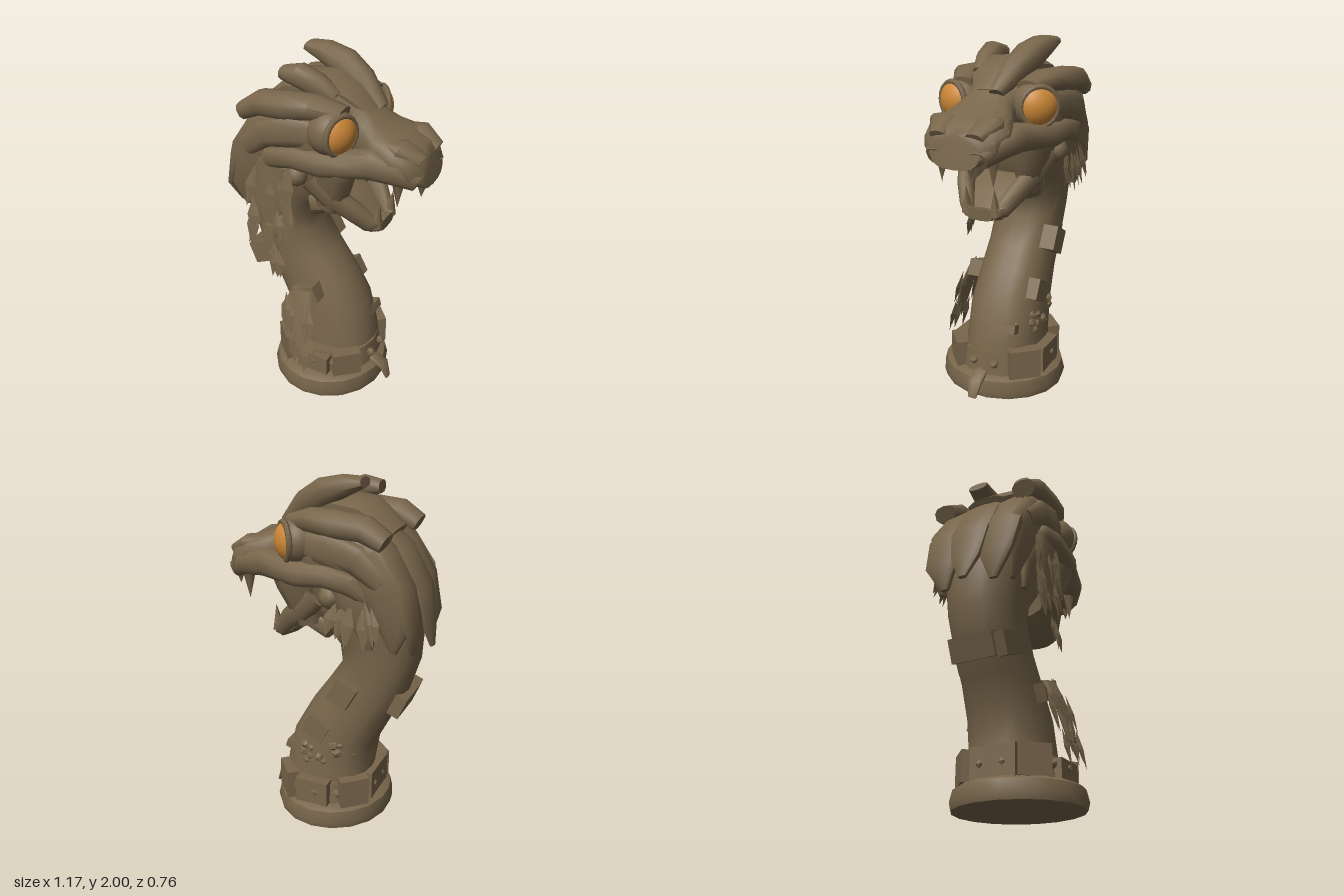
import * as THREE from 'three';
import { toCreasedNormals } from 'three/addons/utils/BufferGeometryUtils.js';

const wood = new THREE.MeshStandardMaterial({ color: 0x78664b });
wood.name = 'weathered brown';
const amber = new THREE.MeshStandardMaterial({ color: 0xcb8636 });
amber.name = 'amber eye';

// Skin of rounded sections: [xA, yA, xB, yB, halfWidth, z]; A lies left of the direction of travel
function loft(sections, sides = 16, p = 0.8, crease = 0.9) {
  const pos = [], idx = [], n = sections.length;
  const soft = (v) => Math.sign(v) * Math.pow(Math.abs(v), p);
  for (const [xa, ya, xb, yb, w, z = 0] of sections) {
    for (let j = 0; j < sides; j++) {
      const t = (j / sides) * Math.PI * 2, c = soft(Math.cos(t)), s = soft(Math.sin(t));
      pos.push((xa + xb) / 2 + c * (xa - xb) / 2, (ya + yb) / 2 + c * (ya - yb) / 2, z + s * w);
    }
  }
  for (let i = 0; i < n - 1; i++) {
    for (let j = 0; j < sides; j++) {
      const k = (j + 1) % sides, a = i * sides, b = a + sides;
      idx.push(a + j, a + k, b + k, a + j, b + k, b + j);
    }
  }
  const e = (n - 1) * sides;
  for (let j = 1; j < sides - 1; j++) idx.push(0, j + 1, j, e, e + j, e + j + 1);
  const g = new THREE.BufferGeometry();
  g.setAttribute('position', new THREE.Float32BufferAttribute(pos, 3));
  g.setIndex(idx);
  return toCreasedNormals(g, crease);
}

// Curved blade through points [x, y, z, halfWidthZ, halfThickness]
function blade(pts, sides = 10) {
  return loft(pts.map(([x, y, z, w, h], i) => {
    const a = pts[Math.max(0, i - 1)], b = pts[Math.min(pts.length - 1, i + 1)];
    const dx = b[0] - a[0], dy = b[1] - a[1], l = Math.hypot(dx, dy);
    const nx = -dy / l * h, ny = dx / l * h;
    return [x + nx, y + ny, x - nx, y - ny, w, z];
  }), sides);
}

export function createModel() {
  const root = new THREE.Group();
  root.name = 'serpentFigurehead';
  let seed = 7;
  const rnd = () => (seed = (seed * 16807) % 2147483647) / 2147483647;
  const add = (name, geo, x = 0, y = 0, z = 0, mat = wood) => {
    const m = new THREE.Mesh(geo, mat);
    m.name = name;
    m.position.set(x, y, z);
    root.add(m);
    return m;
  };
  const headZ = -0.025; // the head and neck sit slightly off the middle

  // S-curved neck
  add('neck', loft([
    [-0.28, 0.02, 0.30, 0.02, 0.25], [-0.25, 0.3, 0.27, 0.3, 0.22], [-0.28, 0.48, 0.22, 0.5, 0.215],
    [-0.36, 0.64, 0.12, 0.68, 0.2], [-0.45, 0.8, 0.02, 0.82, 0.195], [-0.51, 1.0, -0.08, 0.97, 0.2],
    [-0.52, 1.2, -0.07, 1.08, 0.22], [-0.48, 1.4, -0.01, 1.16, 0.25], [-0.38, 1.62, 0.07, 1.25, 0.27],
    [-0.22, 1.76, 0.1, 1.38, 0.28]], 18, 0.85), 0, 0, -0.035);

  // Cranium, narrow between the eyes, and snout
  add('upperHead', loft([
    [-0.42, 1.58, -0.4, 1.34, 0.22], [-0.22, 1.78, -0.22, 1.34, 0.3], [0, 1.85, 0, 1.4, 0.31],
    [0.1, 1.83, 0.1, 1.42, 0.27], [0.17, 1.79, 0.17, 1.42, 0.15], [0.25, 1.73, 0.24, 1.43, 0.16], [0.32, 1.68, 0.31, 1.44, 0.2],
    [0.43, 1.645, 0.42, 1.44, 0.235], [0.52, 1.6, 0.52, 1.41, 0.205], [0.56, 1.56, 0.58, 1.39, 0.14]], 18, 0.75, 0.8), 0, 0, headZ);

  // Lower jaw
  add('lowerJaw', loft([
    [-0.06, 1.3, -0.02, 1.1, 0.21], [0.1, 1.27, 0.1, 1.18, 0.21], [0.2, 1.19, 0.19, 1.1, 0.165],
    [0.28, 1.12, 0.28, 1.055, 0.12], [0.335, 1.13, 0.33, 1.06, 0.08]], 14, 0.7, 0.7), 0, 0, headZ);

  for (const s of [1, -1]) {
    // Cheeks, jaw rims and lips frame the open mouth
    add('cheek', blade([[0.06, 1.2, s * 0.17, 0.06, 0.07], [0.09, 1.32, s * 0.18, 0.08, 0.1],
      [0.11, 1.42, s * 0.21, 0.09, 0.12], [0.12, 1.5, s * 0.22, 0.09, 0.14]]), 0, 0, headZ);
    add('jawRim', blade([[0.0, 1.38, s * 0.24, 0.05, 0.07], [0.1, 1.28, s * 0.205, 0.05, 0.07], [0.2, 1.2, s * 0.155, 0.05, 0.06],
      [0.28, 1.11, s * 0.1, 0.045, 0.045], [0.33, 1.1, s * 0.07, 0.03, 0.03]]), 0, 0, headZ);
    add('lip', blade([[-0.3, 1.4, s * 0.26, 0.03, 0.03], [-0.22, 1.48, s * 0.29, 0.05, 0.06], [-0.08, 1.51, s * 0.29, 0.06, 0.06],
      [0.08, 1.5, s * 0.27, 0.07, 0.07], [0.2, 1.51, s * 0.22, 0.1, 0.07], [0.32, 1.52, s * 0.19, 0.08, 0.08],
      [0.46, 1.49, s * 0.18, 0.06, 0.06], [0.55, 1.44, s * 0.12, 0.05, 0.05]]), 0, 0, headZ);
    add('nostril', blade([[0.34, 1.6, s * 0.12, 0.05, 0.04], [0.45, 1.6, s * 0.13, 0.08, 0.045], [0.55, 1.54, s * 0.1, 0.05, 0.04]]), 0, 0, headZ);
    add('jawHinge', new THREE.SphereGeometry(0.065, 10, 8), -0.09, 1.39, s * 0.25 + headZ);

    // Fangs
    for (const [x, y, z, r, h, up] of [[0.45, 1.37, 0.15, 0.04, 0.17, 0], [0.55, 1.38, 0.08, 0.028, 0.08, 0],
      [0.315, 1.17, 0.085, 0.035, 0.15, 1], [0.22, 1.22, 0.14, 0.03, 0.09, 1]]) {
      add('fang', new THREE.ConeGeometry(r, h, 6), x, y, s * z + headZ).rotation.z = up ? -0.1 : Math.PI;
    }

    // Eyeballs in the brow, each with a thin amber cap turned outward
    const [ex, ez, yaw] = s > 0 ? [0.1, 0.195, -0.35] : [0.107, -0.235, 0.75];
    const dir = new THREE.Vector3(Math.cos(yaw), 0, -Math.sin(yaw));
    add('eyeSocket', new THREE.SphereGeometry(0.125, 20, 14), ex, 1.66, ez);
    const eye = add('eye', new THREE.SphereGeometry(0.129, 18, 6, 0, Math.PI * 2, 0, 0.79), ex, 1.66, ez, amber);
    eye.quaternion.setFromUnitVectors(new THREE.Vector3(0, 1, 0), dir);
    const rim = add('eyeRim', new THREE.TorusGeometry(0.1, 0.016, 6, 18), ex + dir.x * 0.078, 1.66, ez + dir.z * 0.078);
    rim.quaternion.setFromUnitVectors(new THREE.Vector3(0, 0, 1), dir);

    // Swept-back brow horns
    add('browHorn', blade([[-0.39, 1.7, s * 0.26, 0.07, 0.05], [-0.28, 1.76, s * 0.26, 0.085, 0.065],
      [-0.12, 1.77, s * 0.255, 0.09, 0.07], [0.02, 1.78, s * 0.24, 0.09, 0.06], [0.16, 1.75, s * 0.19, 0.06, 0.04]]), 0, 0, headZ);
    add('templeHorn', blade([[-0.38, 1.5, s * 0.27, 0.04, 0.06], [-0.25, 1.61, s * 0.29, 0.05, 0.08],
      [-0.08, 1.65, s * 0.29, 0.04, 0.09], [0.04, 1.65, s * 0.27, 0.03, 0.07]]), 0, 0, headZ);

    // Broad side feathers of the nape
    add('napeFeather', blade([[-0.51, 1.1, s * 0.15, 0.025, 0.015], [-0.525, 1.24, s * 0.17, 0.1, 0.03],
      [-0.465, 1.44, s * 0.17, 0.125, 0.05], [-0.36, 1.62, s * 0.16, 0.12, 0.05], [-0.22, 1.76, s * 0.14, 0.08, 0.04]]), 0, 0, headZ);
    add('sideFeather', blade([[-0.43, 1.12, s * 0.22, 0.015, 0.02], [-0.44, 1.24, s * 0.24, 0.035, 0.08],
      [-0.38, 1.44, s * 0.255, 0.045, 0.125], [-0.27, 1.6, s * 0.26, 0.05, 0.12], [-0.12, 1.7, s * 0.25, 0.04, 0.07]]), 0, 0, headZ);
    add('cheekFeather', blade([[-0.3, 1.12, s * 0.22, 0.015, 0.02], [-0.29, 1.25, s * 0.245, 0.03, 0.08],
      [-0.22, 1.4, s * 0.26, 0.04, 0.11], [-0.14, 1.52, s * 0.26, 0.04, 0.08]]), 0, 0, headZ);
  }

  // Central nape feather and the two unequal crown crests
  add('centreFeather', blade([[-0.575, 1.11, 0, 0.025, 0.012], [-0.55, 1.24, 0, 0.09, 0.03], [-0.51, 1.42, 0, 0.12, 0.04],
    [-0.4, 1.62, 0, 0.12, 0.04], [-0.22, 1.77, 0, 0.09, 0.04]]), 0, 0, headZ);
  add('tallCrest', blade([[-0.23, 1.965, -0.165, 0.065, 0.026], [-0.13, 1.945, -0.165, 0.075, 0.055], [0, 1.9, -0.15, 0.08, 0.075],
    [0.12, 1.83, -0.12, 0.07, 0.07], [0.25, 1.72, -0.085, 0.04, 0.035]]));
  add('shortCrest', blade([[-0.21, 1.9, 0.13, 0.055, 0.035], [-0.12, 1.9, 0.13, 0.065, 0.06],
    [-0.02, 1.86, 0.12, 0.06, 0.06], [0.08, 1.8, 0.1, 0.045, 0.04]]));
  add('crownRidge', blade([[-0.36, 1.7, 0, 0.12, 0.04], [-0.2, 1.81, 0, 0.18, 0.06], [0, 1.84, 0, 0.18, 0.06],
    [0.12, 1.8, 0, 0.13, 0.045], [0.22, 1.72, 0, 0.08, 0.03]]), 0, 0, headZ);

  // Round foot and stepped collar
  const foot = add('foot', new THREE.LatheGeometry([[0, 0], [0.34, 0], [0.35, 0.04], [0.335, 0.105], [0.3, 0.125], [0, 0.13]]
    .map(([r, y]) => new THREE.Vector2(r, y)), 18));
  foot.geometry = toCreasedNormals(foot.geometry, 0.6);
  foot.scale.z = 1.06;
  const collar = add('collar', new THREE.CylinderGeometry(0.275, 0.29, 0.14, 16), 0.01, 0.185, -0.015);
  collar.scale.z = 0.97;
  for (const [x, z, w, h, a] of [[-0.25, 0, 0.26, 0.17, -1.57], [-0.2, 0.19, 0.17, 0.17, -0.75], [-0.2, -0.21, 0.17, 0.17, -2.4],
    [0.2, 0.19, 0.17, 0.15, 0.75], [0.2, -0.23, 0.18, 0.17, 2.3], [0.02, 0.25, 0.2, 0.12, 0], [0.02, -0.28, 0.2, 0.15, 0]]) {
    add('collarPlate', new THREE.BoxGeometry(w, h, 0.07), x, 0.12 + h / 2, z).rotation.y = a;
  }

  // Studs around the collar and small knots on the neck
  for (let i = 0; i < 14; i++) {
    const a = (i / 14) * Math.PI * 2 + 0.2;
    add('stud', new THREE.IcosahedronGeometry(0.026, 0), 0.01 + Math.cos(a) * 0.29, 0.2, Math.sin(a) * 0.29 - 0.015);
  }
  for (let i = 0; i < 18; i++) {
    const t = rnd(), a = -0.3 - rnd() * 2.4, y = 0.32 + t * 0.25;
    const k = add('knot', new THREE.IcosahedronGeometry(0.02 + rnd() * 0.015, 0),
      0.02 - t * 0.07 + Math.cos(a) * 0.24, y, Math.sin(a) * 0.21 - 0.035);
    k.rotation.set(rnd() * 3, rnd() * 3, 0);
  }

  // Patches strapped over the neck
  for (const [x, y, z, w, h, d, a] of [[-0.36, 0.79, 0.135, 0.2, 0.13, 0.06, 0.4], [-0.43, 0.77, -0.03, 0.07, 0.13, 0.26, 0.4],
    [-0.15, 0.84, -0.24, 0.13, 0.14, 0.09, 0.5], [-0.06, 0.61, 0.18, 0.16, 0.1, 0.1, 0.4], [0.02, 0.58, -0.225, 0.14, 0.12, 0.07, 0.5],
    [0.2, 0.4, -0.12, 0.08, 0.05, 0.14, 0.3]]) {
    add('patch', new THREE.BoxGeometry(w, h, d), x, y, z).rotation.z = a;
  }

  // Mats from which the ragged strands hang
  add('strandMat', blade([[-0.22, 1.0, 0.29, 0.012, 0.03], [-0.24, 1.2, 0.29, 0.02, 0.1], [-0.2, 1.45, 0.28, 0.02, 0.1]]));
  add('strandMat', blade([[-0.04, 0.32, 0.33, 0.012, 0.05], [-0.06, 0.5, 0.29, 0.015, 0.08], [-0.08, 0.65, 0.22, 0.03, 0.07]]));

  // Ragged hanging strands: [count, x, spread, top y, drop, z, outward lean]
  for (const [n, x, spread, top, drop, z, lean] of [[16, -0.23, 0.15, 1.46, 0.3, 0.28, 0.03], [12, -0.22, 0.12, 1.26, 0.3, 0.285, 0.04],
    [4, -0.19, 0.05, 1.02, 0.22, 0.3, 0.03], [10, -0.22, 0.14, 1.44, 0.26, -0.3, -0.04],
    [12, -0.07, 0.09, 0.66, 0.26, 0.25, 0.06], [9, -0.05, 0.09, 0.46, 0.24, 0.31, 0.05]]) {
    for (let i = 0; i < n; i++) {
      const len = drop * (0.6 + 0.4 * rnd()), px = x + (rnd() * 2 - 1) * spread;
      const m = add('strand', new THREE.OctahedronGeometry(0.5, 0), px, top - rnd() * 0.08 - len / 2, z + lean * rnd());
      m.rotation.set(-lean * 4, 0, (px - x) * 0.7 + (rnd() - 0.5) * 0.4);
      m.scale.set(0.055 + rnd() * 0.03, len, 0.022);
    }
  }
  // Loose scrap over the foot
  add('footScrap', blade([[0.395, 0.015, 0, 0.025, 0.01], [0.365, 0.1, 0, 0.045, 0.015], [0.28, 0.135, 0, 0.04, 0.02]]));
  return root;
}
